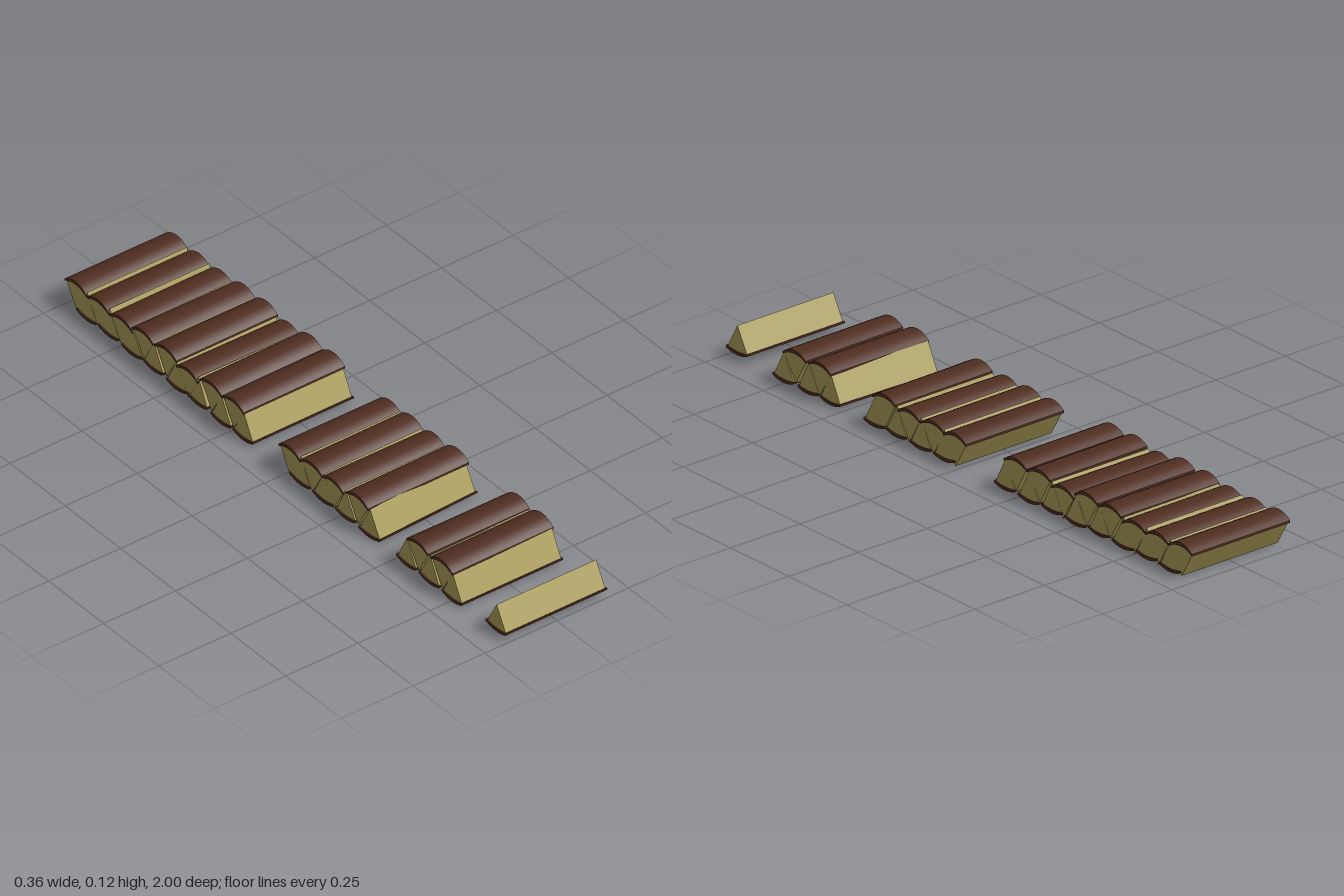
import * as THREE from 'three';
import { toCreasedNormals } from 'three/addons/utils/BufferGeometryUtils.js';

const woodMaterial = new THREE.MeshStandardMaterial({ color: 0xa89a55 });
const barkMaterial = new THREE.MeshStandardMaterial({ color: 0x502d20 });

// Extrude a (z, y) section along x, centred on x = 0
function prism(shape, length) {
  const g = new THREE.ExtrudeGeometry(shape, { depth: length, bevelEnabled: false, curveSegments: 8 });
  g.translate(0, 0, -length / 2);
  g.rotateY(-Math.PI / 2);
  return toCreasedNormals(g, 0.5);
}

// Split log: wedge with its point at the origin and a curved strip of bark on top
function splitLog(name, { half, height, bulge, bark }) {
  const wood = new THREE.Shape();
  wood.moveTo(0, 0);
  wood.lineTo(half, height);
  wood.quadraticCurveTo(0, height + 2 * bulge, -half, height);
  wood.closePath();

  const w = half + 0.003;
  const strip = new THREE.Shape();
  strip.moveTo(-w, height - 0.003);
  strip.quadraticCurveTo(0, height + 2 * bulge, w, height - 0.003);
  strip.lineTo(w, height - 0.003 + bark);
  strip.quadraticCurveTo(0, height + 2 * (bulge + bark), -w, height - 0.003 + bark);
  strip.closePath();

  const log = new THREE.Group();
  log.name = name;
  const core = new THREE.Mesh(prism(wood, 0.346), woodMaterial);
  core.name = 'wood';
  const shell = new THREE.Mesh(prism(strip, 0.354), barkMaterial);
  shell.name = 'bark';
  log.add(core, shell);
  return log;
}

const UPPER = { half: 0.046, height: 0.079, bulge: 0.013, bark: 0.007 };
const LOWER = { half: 0.042, height: 0.082, bulge: 0.005, bark: 0.006 };
const SINGLE = { half: 0.042, height: 0.076, bulge: 0.004, bark: 0.006 };

export function createModel() {
  const model = new THREE.Group();
  model.name = 'splitLogRow';

  // Bark-down log: y is the height of its sharp upper edge
  const barkDown = (z, y, tilt = 0, yaw = 0, size = LOWER) => {
    const log = splitLog('barkDownLog', size);
    log.position.set(0, y, z);
    log.rotation.set(Math.PI + tilt, yaw, 0, 'YXZ');
    model.add(log);
  };
  // Bark-up log: y is the height of its bark crown
  const barkUp = (z, y, tilt = 0, yaw = 0) => {
    const log = splitLog('barkUpLog', UPPER);
    log.position.set(0, y - 0.099, z);
    log.rotation.set(tilt, yaw, 0, 'YXZ');
    model.add(log);
  };

  // Single log at the front
  barkDown(0.953, 0.107, 0, 0, SINGLE);

  // Five-log bundle
  [[0.753, 0.099, 0, 0], [0.65, 0.1, 0.03, 0.01], [0.55, 0.1, 0, -0.02]].forEach(a => barkDown(...a));
  [[0.705, 0.117, 0.02, 0.01], [0.6, 0.117, -0.03, 0]].forEach(a => barkUp(...a));

  // Eight-log bundle
  [[0.37, 0.099, 0, 0.05], [0.268, 0.1, -0.03, 0], [0.167, 0.098, 0, 0.01], [0.066, 0.098, 0.03, 0]]
    .forEach(a => barkDown(...a));
  [[0.322, 0.116, 0.02, 0.01], [0.215, 0.106, 0, -0.01], [0.115, 0.107, 0, 0.01], [0.018, 0.103, 0, 0]]
    .forEach(a => barkUp(...a));

  // Sixteen-log bundle: crown heights and small turns from front to back
  const crowns = [0.117, 0.117, 0.102, 0.117, 0.114, 0.102, 0.102, 0.105];
  const turns = [0.01, 0.02, -0.02, 0.01, -0.01, 0.02, 0, 0];
  crowns.forEach((crown, i) => {
    barkDown(-0.195 - 0.101 * i, 0.1 - 0.003 * (i % 2), turns[7 - i], turns[i] / 2);
    barkUp(-0.24 - 0.1015 * i, crown, turns[i], turns[i] / 2);
  });

  return model;
}
